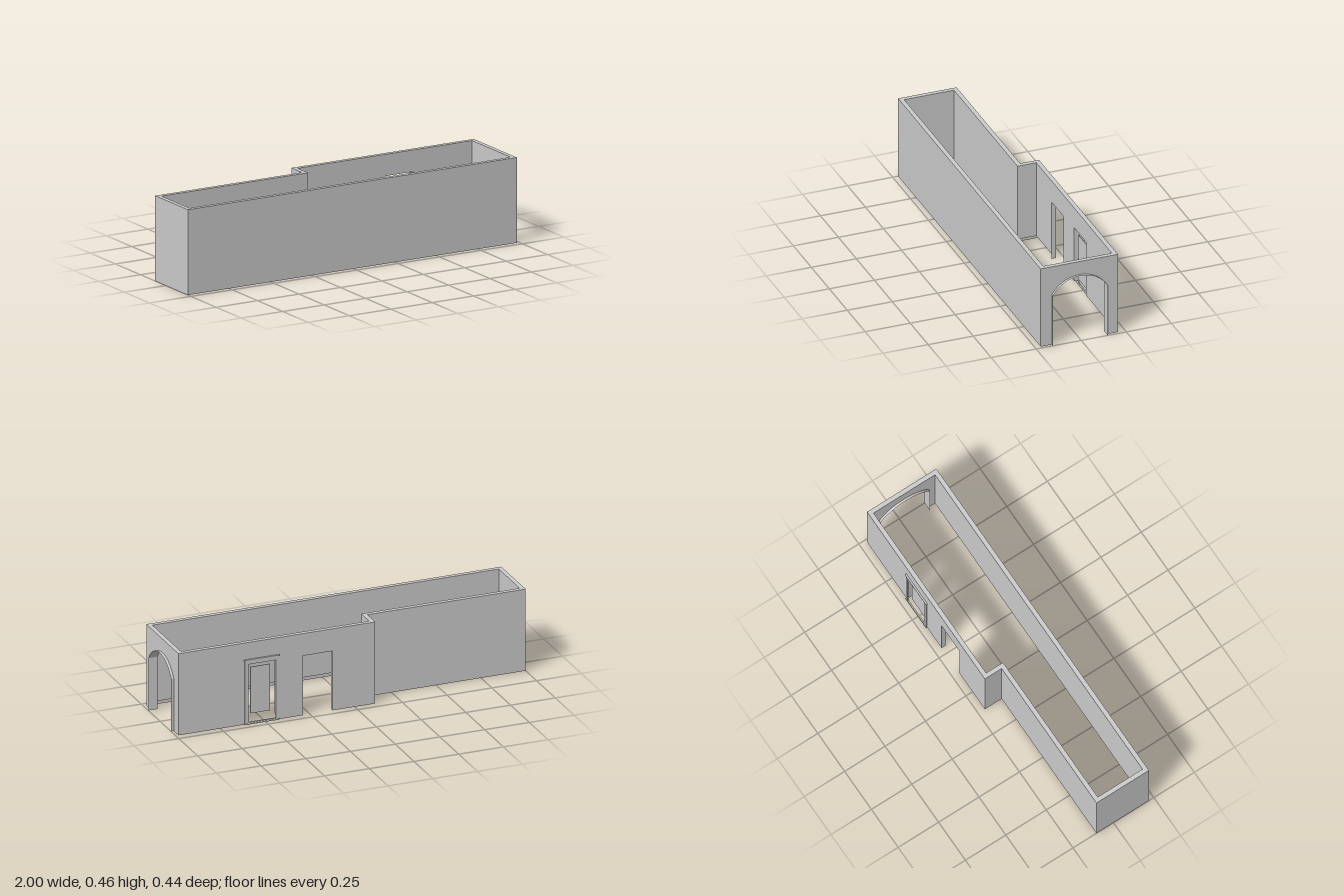
import * as THREE from 'three';
import { toCreasedNormals } from 'three/addons/utils/BufferGeometryUtils.js';

const H = 0.456, T = 0.024, BASE = 0.027; // wall height, thickness, underside level
const X0 = -1, X1 = 0.985, XS = -0.115;   // left end, right end, step
const ZF = 0.2196, ZB = -0.209, ZS = -0.105; // front, back, set-back rear

export function createModel() {
  const group = new THREE.Group();
  const mat = new THREE.MeshStandardMaterial({ color: 0xcccccc, side: THREE.DoubleSide });

  const add = (name, geo, x = 0, y = 0, z = 0) => {
    const mesh = new THREE.Mesh(geo, mat);
    mesh.name = name;
    mesh.position.set(x, y, z);
    group.add(mesh);
    return mesh;
  };
  const box = (name, xa, xb, ya, yb, za, zb) =>
    add(name, new THREE.BoxGeometry(xb - xa, yb - ya, zb - za), (xa + xb) / 2, (ya + yb) / 2, (za + zb) / 2);

  // Wall drawn in elevation from a to b, notched by openings (lists of [u, y]);
  // the thin outer skin alone continues down to the ground.
  function wall(name, a, b, { min, outer, alongZ = false, from = a, to = b, openings = [] }) {
    const pts = [[a, BASE]];
    openings.forEach(o => pts.push([o[0][0], BASE], ...o.slice(1, -1), [o[o.length - 1][0], BASE]));
    pts.push([b, BASE], [b, H], [a, H]);
    const geo = new THREE.ExtrudeGeometry(new THREE.Shape(pts.map(p => new THREE.Vector2(...p))),
      { depth: T, bevelEnabled: false });
    if (alongZ) geo.rotateY(-Math.PI / 2).translate(min + T, 0, 0);
    else geo.translate(0, 0, min);
    add(name, geo);

    const stops = [from, ...openings.flatMap(o => [o[0][0], o[o.length - 1][0]]), to];
    for (let i = 0; i < stops.length; i += 2) {
      const mid = (stops[i] + stops[i + 1]) / 2;
      const skin = new THREE.PlaneGeometry(stops[i + 1] - stops[i], BASE);
      const facesBack = outer === min;
      if (alongZ) skin.rotateY(facesBack ? -Math.PI / 2 : Math.PI / 2);
      else if (facesBack) skin.rotateY(Math.PI);
      add(name + 'Skirt', skin, alongZ ? outer : mid, BASE / 2, alongZ ? mid : outer);
    }
  }

  // Segmental arch outline in (z, y)
  const arch = [[-0.147, 0]];
  const R = 0.176, half = Math.asin(0.152 / R);
  for (let i = 0; i <= 24; i++) {
    const t = -half + (2 * half * i) / 24;
    arch.push([0.005 + R * Math.sin(t), 0.204 + R * Math.cos(t)]);
  }
  arch.push([0.157, 0]);

  const doorway = (a, b, top) => [[a, 0], [a, top], [b, top], [b, 0]];
  const plainDoor = doorway(0.123, 0.288, 0.332);
  const framedDoor = doorway(0.437, 0.603, 0.34);

  // Walls
  wall('frontWall', X0, X1, { min: ZF - T, outer: ZF });
  wall('backWall', XS, X1, { min: ZB, outer: ZB, openings: [plainDoor, framedDoor] });
  wall('setBackWall', X0, XS + T, { min: ZS, outer: ZS, to: XS });
  wall('stepWall', ZB + T, ZS, { min: XS, outer: XS, alongZ: true, from: ZB });
  wall('leftEndWall', ZS + T, ZF - T, { min: X0, outer: X0, alongZ: true, from: ZS, to: ZF });
  wall('archWall', ZB + T, ZF - T,
    { min: X1 - T, outer: X1, alongZ: true, from: ZB, to: ZF, openings: [arch] });

  // Thin lining of the arch, standing proud on both faces
  const pos = [], idx = [];
  arch.forEach(([z, y], i) => {
    pos.push(0.948, y, z, 1, y, z);
    if (i) {
      const k = 2 * i;
      idx.push(k - 2, k - 1, k, k - 1, k + 1, k);
    }
  });
  const lining = new THREE.BufferGeometry();
  lining.setAttribute('position', new THREE.Float32BufferAttribute(pos, 3));
  lining.setIndex(idx);
  add('archLining', toCreasedNormals(lining, 0.4));

  // Reveals of the plain doorway reaching the ground
  for (const x of [0.123, 0.288])
    add('doorReveal', new THREE.PlaneGeometry(T, BASE).rotateY(x < 0.2 ? Math.PI / 2 : -Math.PI / 2),
      x, BASE / 2, ZB + T / 2);

  // Door frame with cornice, threshold and pane
  const ring = new THREE.Shape([[0.425, 0], [0.615, 0], [0.615, 0.357], [0.425, 0.357]].map(p => new THREE.Vector2(...p)));
  ring.holes.push(new THREE.Path([[0.443, 0.012], [0.443, 0.335], [0.597, 0.335], [0.597, 0.012]].map(p => new THREE.Vector2(...p))));
  add('doorFrame', new THREE.ExtrudeGeometry(ring, { depth: 0.007, bevelEnabled: false }), 0, 0, -0.2145);
  box('doorCornice', 0.42, 0.62, 0.357, 0.362, -0.2186, ZB);
  box('doorThreshold', 0.422, 0.618, 0, 0.005, -0.2165, ZB);
  box('doorPane', 0.468, 0.578, 0.053, 0.312, -0.199, -0.195);

  return group;
}
